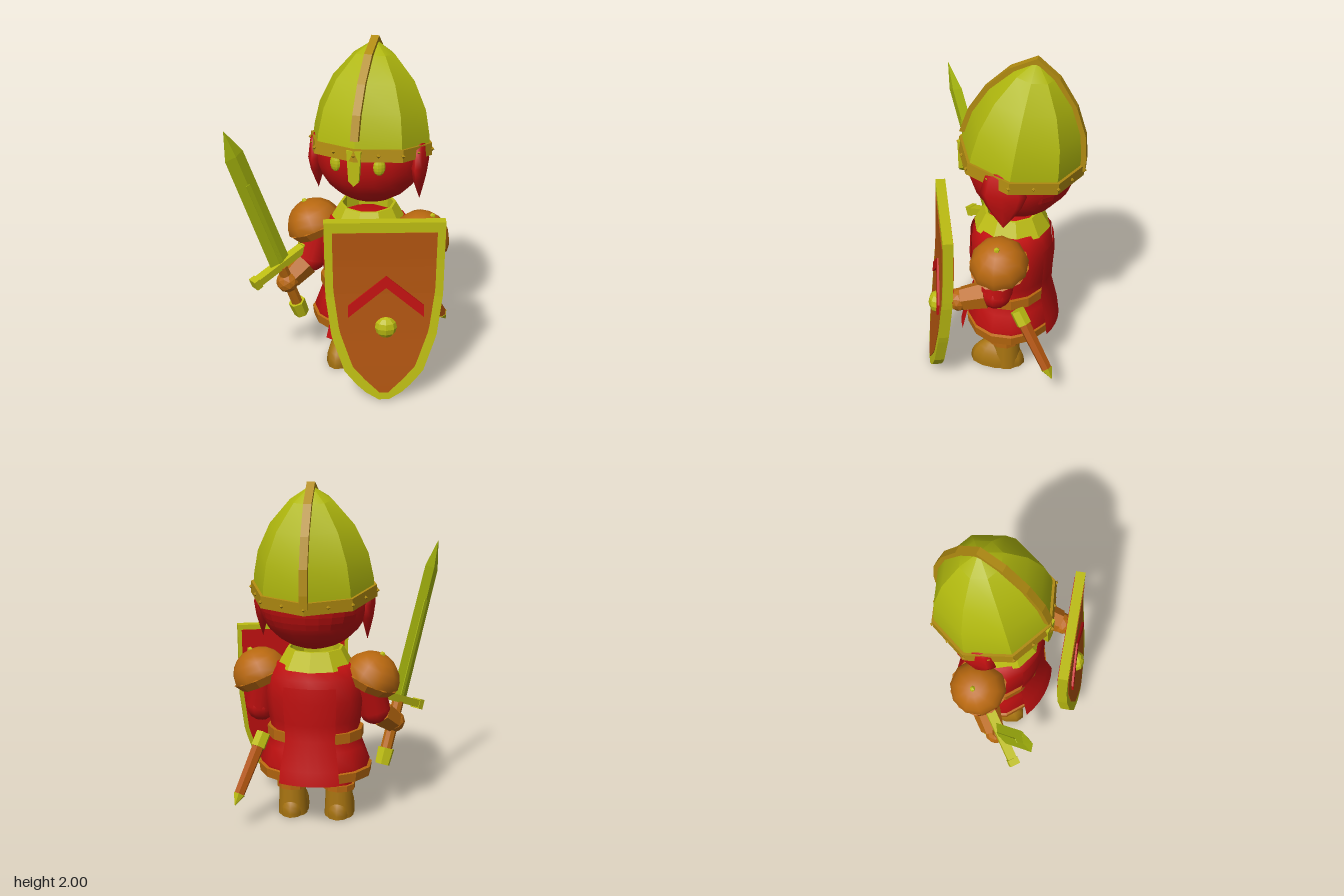
import * as THREE from 'three';
import { toCreasedNormals } from 'three/addons/utils/BufferGeometryUtils.js';

const V = (x, y, z) => new THREE.Vector3(x, y, z);
const mat = (color, flatShading = true) =>
  new THREE.MeshStandardMaterial({ color, flatShading, side: THREE.DoubleSide });
const RED = mat(0xc01010), SOFT_RED = mat(0xc01010, false), ORANGE = mat(0xb8680f);
const BROWN = mat(0xb0540f), YELLOW = mat(0xbcbc12), GOLD = mat(0xb08a10), GREEN = mat(0xa8b80e);
const DOME = mat(0xb0b80e, false), BOOT = mat(0xa87410, false), PAD = mat(0xb8680f, false);
const CX = 0.07, CZ = -0.06; // body axis

function add(parent, name, geo, material, x = 0, y = 0, z = 0) {
  const m = new THREE.Mesh(geo, material);
  m.name = name;
  m.position.set(x, y, z);
  parent.add(m);
  return m;
}

// Tapered cylinder between two points
function limb(parent, name, a, b, ra, rb, material, sides = 8) {
  const d = b.clone().sub(a);
  const m = add(parent, name, new THREE.CylinderGeometry(rb, ra, d.length(), sides), material);
  m.position.copy(a).addScaledVector(d, 0.5);
  m.quaternion.setFromUnitVectors(V(0, 1, 0), d.normalize());
  return m;
}

const lathe = (pts, sides, start = 0, sweep = Math.PI * 2) =>
  new THREE.LatheGeometry(pts.map(p => new THREE.Vector2(...p)), sides, start, sweep);
const extrude = (pts, depth) =>
  new THREE.ExtrudeGeometry(new THREE.Shape(pts.map(p => new THREE.Vector2(...p))), { depth, bevelEnabled: false });

// Linear interpolation in a small [y, value] list
function at(list, y) {
  for (let i = 1; i < list.length; i++) {
    const [y0, v0] = list[i - 1], [y1, v1] = list[i];
    if (y <= y1) return v0 + (v1 - v0) * Math.max(0, (y - y0) / (y1 - y0));
  }
  return list[list.length - 1][1];
}

// Upright plate whose half width and depth position vary with height
function slab(y0, y1, thick, halfW, zAt) {
  const g = new THREE.BoxGeometry(2, 1, thick, 1, 24, 1);
  const p = g.attributes.position;
  for (let i = 0; i < p.count; i++) {
    const y = y0 + (p.getY(i) + 0.5) * (y1 - y0);
    p.setXYZ(i, p.getX(i) * halfW(y), y, p.getZ(i) + zAt(y));
  }
  g.computeVertexNormals();
  return g;
}

function makeHelmet() {
  const g = new THREE.Group();
  g.name = 'helmet';
  g.position.set(CX, 1.385, -0.11);
  g.rotation.x = -0.14;
  const prof = [[0.348, 0], [0.343, 0.08], [0.315, 0.22], [0.24, 0.38], [0.12, 0.52], [0.001, 0.6]];
  add(g, 'dome', toCreasedNormals(lathe(prof, 8), 0.5), DOME);
  add(g, 'rim', lathe([[0.34, -0.035], [0.365, -0.035], [0.362, 0.035], [0.34, 0.035], [0.34, -0.035]], 8), GOLD);
  // crest strip from brow over the top to the nape
  const outer = prof.map(([r, h]) => [r + 0.02, h + (h > 0.5 ? 0.01 : 0)]);
  const front = outer.slice(1, 5), back = outer.slice(0, 5).map(([r, h]) => [-r, h]).reverse();
  const inner = prof.slice(0, 5).map(([r, h]) => [-r + 0.01, h]);
  const innerFront = prof.slice(1, 5).reverse().map(([r, h]) => [r - 0.01, h]);
  const crest = extrude([...front, [0, 0.62], ...back, ...inner, [0, 0.58], ...innerFront], 0.046);
  add(g, 'crest', crest.translate(0, 0, -0.023).rotateY(-Math.PI / 2), GOLD);
  for (let i = 0; i < 16; i++) {
    const a = i * Math.PI / 8, r = i % 2 ? 0.338 : 0.364;
    add(g, 'rimRivet', new THREE.OctahedronGeometry(0.013), GOLD, Math.sin(a) * r, 0, Math.cos(a) * r);
  }
  return g;
}

function makeHead() {
  const g = new THREE.Group();
  g.name = 'head';
  add(g, 'face', new THREE.SphereGeometry(0.31, 20, 14), SOFT_RED, CX, 1.355, -0.11).scale.set(1.05, 1.02, 0.97);
  add(g, 'backHair', new THREE.SphereGeometry(0.318, 14, 10, Math.PI * 0.95, Math.PI * 1.1, 0.8, 1.3), RED, CX, 1.36, -0.11);
  // petal-shaped locks over the ears
  const petal = [[0, 0], [0.045, 0.06], [0.1, 0.14], [0.132, 0.22], [0.1, 0.33], [0, 0.36]];
  for (const s of [-1, 1]) {
    const lock = add(g, 'sideLock', lathe(petal, 8), SOFT_RED, CX + s * 0.305, 1.09, -0.07);
    lock.scale.x = 0.34;
    const eye = add(g, 'eye', new THREE.SphereGeometry(0.05, 10, 8), YELLOW, CX + s * 0.128, 1.352, 0.17);
    eye.scale.set(0.7, 1, 0.4);
    eye.rotation.y = s * 0.4;
  }
  add(g, 'noseGuard', extrude([[-0.03, 0.03], [0, 0], [0.03, 0.03], [0.042, 0.21], [-0.042, 0.21]], 0.025), YELLOW, CX, 1.25, 0.22);
  return g;
}

function makeBody() {
  const g = new THREE.Group();
  g.name = 'body';
  const ring = (name, pts, m, sx, sides = 14, start, sweep) => {
    add(g, name, lathe(pts, sides, start, sweep), m, CX, 0, CZ).scale.x = sx;
  };
  ring('tunic', [[0, 0.28], [0.25, 0.28], [0.265, 0.35], [0.235, 0.45], [0.21, 0.53], [0.225, 0.62],
    [0.24, 0.75], [0.235, 0.88], [0.19, 0.95], [0, 0.97]], SOFT_RED, 1.22);
  ring('hem', [[0.25, 0.27], [0.265, 0.275], [0.27, 0.33], [0.25, 0.34]], ORANGE, 1.25);
  ring('belt', [[0.2, 0.5], [0.228, 0.5], [0.228, 0.56], [0.2, 0.56]], ORANGE, 1.25);
  ring('collar', [[0.2, 0.93], [0.225, 0.93], [0.165, 1.035], [0.15, 1.035], [0.15, 0.94]], YELLOW, 1, 10);
  // cloth panels wrapping the front and back
  ring('frontCloth', [[0.305, 0.24], [0.275, 0.36], [0.225, 0.52], [0.235, 0.62], [0.248, 0.75], [0.24, 0.9]],
    SOFT_RED, 1.22, 6, -0.5, 1.0);
  ring('backCloth', [[0.285, 0.27], [0.275, 0.35], [0.236, 0.52], [0.24, 0.62], [0.25, 0.75], [0.245, 0.84]],
    SOFT_RED, 1.22, 6, Math.PI - 0.53, 1.06);
  // legs and boots
  for (const s of [-1, 1]) {
    const leg = new THREE.Group();
    leg.name = s < 0 ? 'rightLeg' : 'leftLeg';
    leg.position.set(CX + s * 0.14, 0, -0.045);
    add(leg, 'trouser', new THREE.CylinderGeometry(0.08, 0.08, 0.16, 10), SOFT_RED, 0, 0.25, 0);
    add(leg, 'bootCuff', new THREE.CylinderGeometry(0.096, 0.096, 0.035, 10), ORANGE, 0, 0.185, 0);
    add(leg, 'bootShaft', new THREE.CylinderGeometry(0.08, 0.088, 0.17, 12), BOOT, 0, 0.085, -0.01);
    const toe = add(leg, 'bootToe', new THREE.SphereGeometry(1, 12, 6, 0, Math.PI * 2, 0, Math.PI / 2), BOOT, 0, 0.02, 0.045);
    toe.scale.set(0.088, 0.135, 0.165);
    const sole = add(leg, 'bootSole', new THREE.CylinderGeometry(1, 1, 0.02, 12), BOOT, 0, 0.01, 0.045);
    sole.scale.set(0.088, 1, 0.165);
    g.add(leg);
  }
  return g;
}

function makePauldron(s) {
  const g = new THREE.Group();
  g.name = 'shoulderPad';
  g.position.set(CX + s * 0.325, 0.85, -0.05);
  g.rotation.z = -s * 0.42;
  add(g, 'padDome', new THREE.SphereGeometry(0.17, 10, 5, 0, Math.PI * 2, 0, Math.PI / 2), PAD).scale.y = 0.95;
  add(g, 'padRim', lathe([[0.13, -0.05], [0.14, -0.05], [0.172, 0], [0.15, 0.01]], 10), ORANGE);
  add(g, 'padRivet', new THREE.IcosahedronGeometry(0.018), YELLOW, 0, 0.16, 0);
  return g;
}

function makeArm(name, s, shoulder, elbow, wrist, hand) {
  const g = new THREE.Group();
  g.name = name;
  limb(g, 'sleeve', shoulder, elbow, 0.1, 0.095, SOFT_RED, 10);
  add(g, 'elbow', new THREE.SphereGeometry(0.095, 10, 8), SOFT_RED).position.copy(elbow);
  limb(g, 'gauntlet', elbow.clone().lerp(wrist, 0.3), wrist, 0.085, 0.07, ORANGE, 6);
  add(g, 'hand', new THREE.IcosahedronGeometry(0.068, 1), ORANGE).position.copy(hand);
  g.add(makePauldron(s));
  return g;
}

function makeSword() {
  const g = new THREE.Group();
  g.name = 'sword';
  const pommel = V(-0.325, 0.33, 0.06), d = V(-0.6, 1.59, 0.47).sub(pommel).normalize();
  const side = V(0.55, 0.355, -0.755);
  side.addScaledVector(d, -side.dot(d)).normalize();
  g.quaternion.setFromRotationMatrix(new THREE.Matrix4().makeBasis(side, d, side.clone().cross(d)));
  g.position.copy(pommel);
  add(g, 'blade', new THREE.CylinderGeometry(0.062, 0.068, 0.81, 4), GREEN, 0, 0.775, 0).scale.z = 0.33;
  add(g, 'bladeTip', new THREE.ConeGeometry(0.062, 0.173, 4), GREEN, 0, 1.266, 0).scale.z = 0.33;
  add(g, 'bladeRidge', new THREE.BoxGeometry(0.026, 0.6, 0.044), GREEN, 0, 0.68, 0);
  add(g, 'guard', new THREE.BoxGeometry(0.38, 0.045, 0.055), YELLOW, 0, 0.365, 0);
  for (const s of [-1, 1]) add(g, 'guardEnd', new THREE.BoxGeometry(0.04, 0.06, 0.062), YELLOW, s * 0.19, 0.365, 0);
  add(g, 'grip', new THREE.CylinderGeometry(0.035, 0.035, 0.3, 8), ORANGE, 0, 0.2, 0);
  add(g, 'pommel', new THREE.CylinderGeometry(0.052, 0.046, 0.1, 6), YELLOW, 0, 0.01, 0);
  return g;
}

function makeShield() {
  const g = new THREE.Group();
  g.name = 'shield';
  g.position.set(0.265, 0, 0.295);
  g.rotation.y = 0.308;
  const half = [[0, 0.02], [0.025, 0.07], [0.07, 0.13], [0.18, 0.225], [0.4, 0.3], [0.65, 0.333], [1.09, 0.34]];
  // lower part sweeps forward
  const sweep = [[0, 0.09], [0.2, 0.066], [0.4, 0.041], [0.65, 0.015], [0.85, 0.004], [1.09, 0]];
  const lean = y => at(sweep, y);
  add(g, 'shieldFrame', slab(0.005, 1.09, 0.058, y => at(half, y), lean), YELLOW);
  add(g, 'shieldFace', slab(0.05, 1.03, 0.02, y => at(half, y - 0.035) - 0.045 + (y < 0.08 ? 0.02 : 0), y => lean(y) + 0.023), BROWN);
  add(g, 'shieldBack', slab(0.04, 1.06, 0.01, y => at(half, y - 0.02) - 0.022, y => lean(y) - 0.027), RED);
  const chevron = extrude([[0, 0.18], [-0.215, 0], [-0.215, 0.07], [0, 0.25], [0.215, 0.07], [0.215, 0]], 0.02);
  add(g, 'chevron', chevron, RED, 0.01, 0.52, lean(0.52) + 0.024).rotation.x = -0.085;
  add(g, 'boss', new THREE.SphereGeometry(0.065, 8, 6), YELLOW, 0.01, 0.455, lean(0.455) + 0.03).scale.z = 0.7;
  return g;
}

function makeDagger() {
  const g = new THREE.Group();
  g.name = 'dagger';
  const top = V(0.365, 0.52, -0.15), tip = V(0.492, 0.15, -0.38);
  const p = t => top.clone().lerp(tip, t);
  limb(g, 'daggerGrip', p(0), p(0.2), 0.045, 0.045, YELLOW, 6);
  limb(g, 'sheath', p(0.2), p(0.85), 0.038, 0.032, BROWN, 6);
  limb(g, 'sheathTip', p(0.85), p(1), 0.036, 0.003, YELLOW, 6);
  return g;
}

export function createModel() {
  const model = new THREE.Group();
  model.name = 'littleKnight';
  model.add(makeHelmet(), makeHead(), makeBody(), makeSword(), makeShield(), makeDagger());
  model.add(makeArm('rightArm', -1, V(-0.23, 0.85, -0.05), V(-0.27, 0.66, -0.01), V(-0.37, 0.55, 0.1), V(-0.375, 0.54, 0.13)));
  model.add(makeArm('leftArm', 1, V(0.37, 0.85, -0.05), V(0.4, 0.66, -0.03), V(0.43, 0.61, 0.16), V(0.43, 0.6, 0.18)));
  return model;
}
